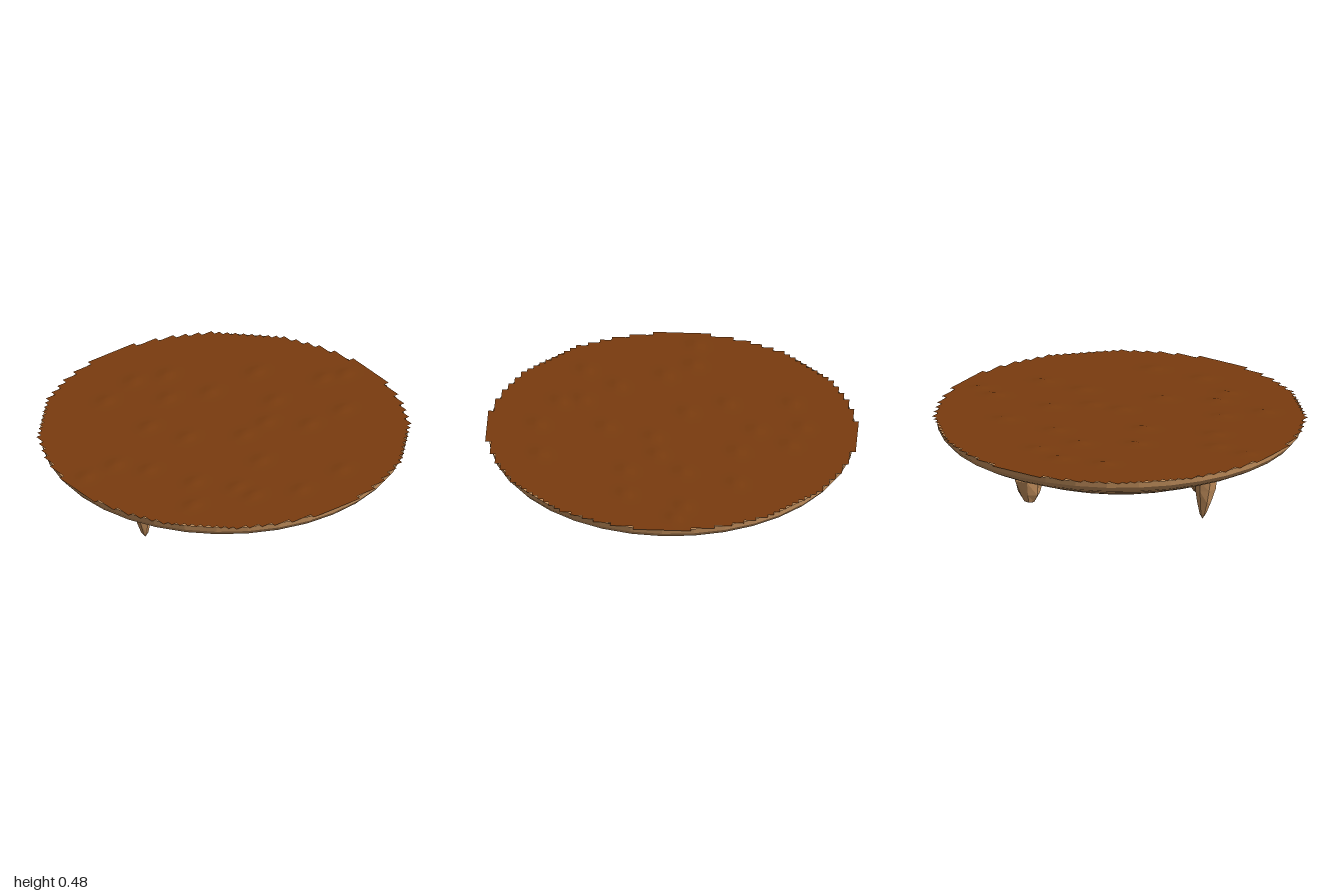
import * as THREE from 'three';

const soil = new THREE.MeshStandardMaterial({ color: 0x7a3c0f, side: THREE.DoubleSide });
const rock = new THREE.MeshStandardMaterial({ color: 0xc8935f, flatShading: true, side: THREE.DoubleSide });

function add(group, name, geometry, material) {
  const mesh = new THREE.Mesh(geometry, material);
  mesh.name = name;
  group.add(mesh);
  return mesh;
}

// Centres (x, z) of the low lumps on the ground
const lumps = [
  [-0.32, -0.63], [-0.08, -0.7], [0.1, -0.64], [-0.04, -0.45], [0.18, -0.36], [0.5, -0.37], [-0.3, -0.28],
  [-0.68, -0.08], [-0.88, -0.08], [-0.2, -0.07], [0.4, -0.08], [0.75, -0.1], [0.87, -0.06], [0.23, 0.07],
  [0.64, 0.22], [0.4, 0.23], [0.06, 0.1], [-0.45, 0.32], [-0.03, 0.36], [-0.6, 0.5], [-0.3, 0.5],
  [-0.28, 0.62], [-0.04, 0.73], [0.26, 0.7], [-0.57, 0.07],
];

function groundHeight(x, z) {
  let y = 0.478;
  for (const [lx, lz] of lumps) {
    y += 0.011 * Math.exp(-(((x - lx) / 0.045) ** 2) - ((z - lz) / 0.03) ** 2);
  }
  return y;
}

// Ground sheet: a square grid cut to a stepped circle
function groundGeometry() {
  const n = 64, half = n / 2, limit = 1.016 * half;
  const geo = new THREE.PlaneGeometry(2, 2, n, n).rotateX(-Math.PI / 2);
  const pos = geo.attributes.position;
  for (let i = 0; i < pos.count; i++) pos.setY(i, groundHeight(pos.getX(i), pos.getZ(i)));
  const index = [];
  for (let r = 0; r < n; r++) {
    for (let c = 0; c < n; c++) {
      const farX = Math.max(Math.abs(c - half), Math.abs(c + 1 - half));
      const farZ = Math.max(Math.abs(r - half), Math.abs(r + 1 - half));
      if (Math.hypot(farX, farZ) > limit) continue;
      const a = r * (n + 1) + c, b = a + n + 1;
      index.push(a, b, a + 1, b, b + 1, a + 1);
    }
  }
  geo.setIndex(index);
  geo.computeVertexNormals();
  return geo;
}

// Shallow rocky bowl with one bulge under the front
function bowlGeometry() {
  const profile = [
    [0, 0.17], [0.13, 0.172], [0.25, 0.178], [0.35, 0.193], [0.44, 0.21], [0.52, 0.232], [0.6, 0.26], [0.68, 0.29],
    [0.76, 0.323], [0.84, 0.358], [0.91, 0.388], [0.96, 0.415], [0.985, 0.445], [0.99, 0.476],
  ].map(([r, y]) => new THREE.Vector2(r, y));
  const geo = new THREE.LatheGeometry(profile, 36);
  const pos = geo.attributes.position;
  for (let i = 0; i < pos.count; i++) {
    const x = pos.getX(i), z = pos.getZ(i);
    const bulge = Math.exp(-(((x + 0.07) / 0.16) ** 2) - ((z - 0.57) / 0.15) ** 2);
    pos.setY(i, pos.getY(i) - 0.082 * bulge);
  }
  geo.computeVertexNormals();
  return geo;
}

// Faceted stone hanging from y = top to y = bottom, its tip shifted by leanX
function stoneGeometry(profile, sides, top, bottom, rx, rz, leanX) {
  const geo = new THREE.LatheGeometry(profile.map(([r, t]) => new THREE.Vector2(r, t)), sides);
  const pos = geo.attributes.position;
  for (let i = 0; i < pos.count; i++) {
    const t = pos.getY(i);
    const a = Math.atan2(pos.getZ(i), pos.getX(i));
    const k = 1 + 0.1 * Math.sin(2 * a + 5 * t);
    pos.setXYZ(i, pos.getX(i) * rx * k + leanX * (1 - t), bottom + (top - bottom) * t, pos.getZ(i) * rz * k);
  }
  geo.computeVertexNormals();
  return geo;
}

const spike = [[0, 0], [0.32, 0.1], [0.65, 0.35], [0.9, 0.6], [1, 0.82], [0.6, 1], [0, 1]];
const lump = [[0, 0], [0.45, 0.07], [0.75, 0.3], [1, 0.7], [0.8, 0.95], [0, 1]];

export function createModel() {
  const group = new THREE.Group();
  group.name = 'floatingGround';

  add(group, 'ground', groundGeometry(), soil);
  add(group, 'rockBowl', bowlGeometry(), rock);

  // Hanging stones
  add(group, 'longSpike', stoneGeometry(spike, 6, 0.3, 0.005, 0.055, 0.06, 0.035), rock).position.set(-0.57, 0, 0);
  add(group, 'shortSpike', stoneGeometry(lump, 6, 0.28, 0.145, 0.05, 0.045, -0.01), rock).position.set(-0.485, 0, 0.01);
  add(group, 'backStone', stoneGeometry(lump, 7, 0.34, 0.143, 0.08, 0.073, -0.01), rock).position.set(0.18, 0, -0.62);

  // Flat stone set into the slope
  const flat = add(group, 'slopeStone', new THREE.IcosahedronGeometry(1, 1), rock);
  flat.scale.set(0.09, 0.022, 0.085);
  flat.position.set(0.67, 0.338, 0.34);
  flat.rotation.set(-0.15, 0, 0.27);

  return group;
}
